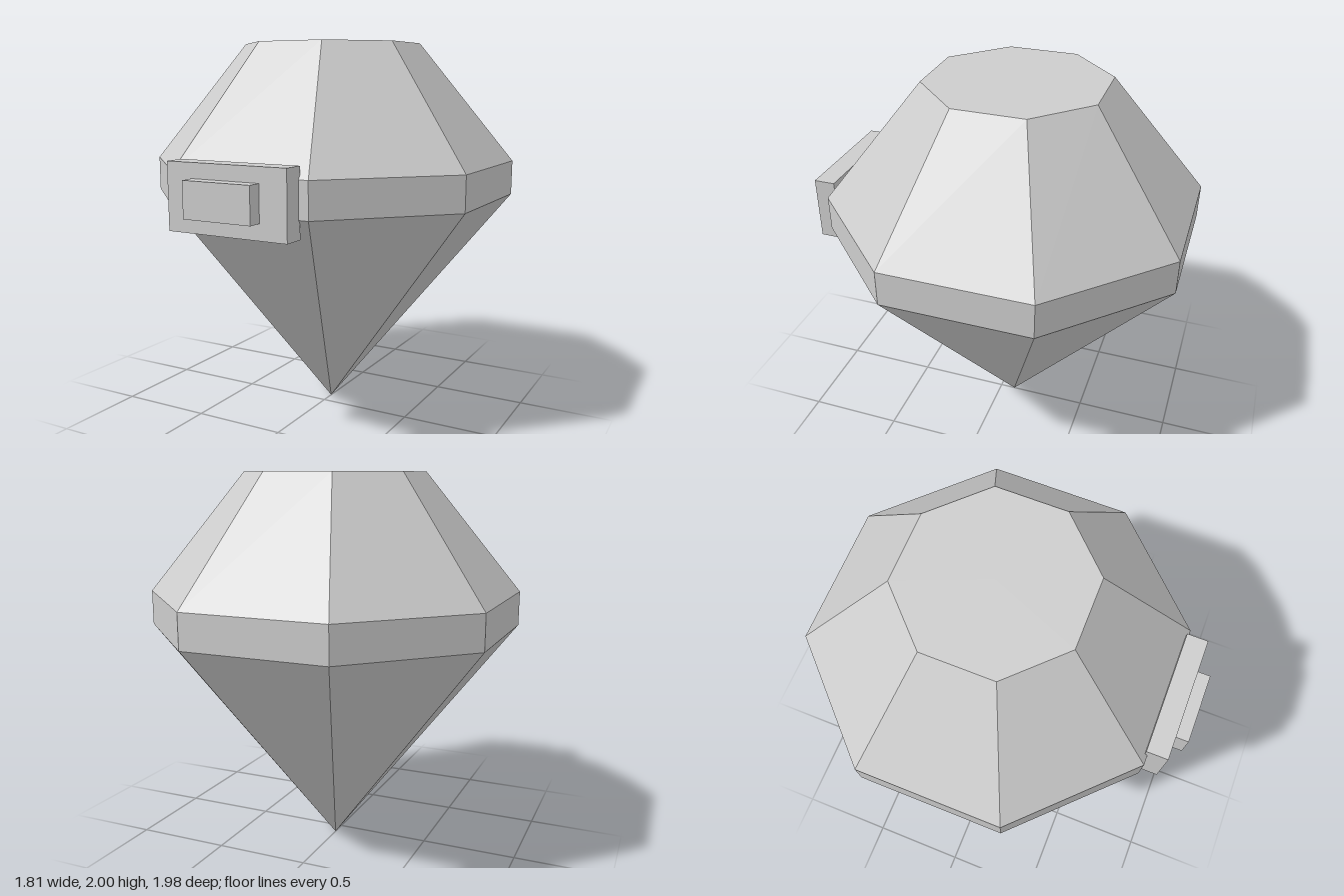
import * as THREE from 'three';

const SIDES = 8;
const RADIUS = 0.98;
const GEM_Z = -0.083;

export function createModel() {
  const model = new THREE.Group();
  model.name = 'cutGem';
  const grey = new THREE.MeshStandardMaterial({ color: 0xcccccc });
  grey.name = 'stone grey';

  const add = (name, geometry, x, y, z) => {
    const mesh = new THREE.Mesh(geometry, grey);
    mesh.name = name;
    mesh.position.set(x, y, z);
    model.add(mesh);
  };

  // Faceted ring of the gem between two heights, a flat facing the front
  const facets = (name, topRadius, bottomRadius, y0, y1) => {
    const geometry = new THREE.CylinderGeometry(
      topRadius, bottomRadius, y1 - y0, SIDES, 1, true, Math.PI / SIDES).toNonIndexed();
    geometry.computeVertexNormals();
    add(name, geometry, 0, (y0 + y1) / 2, GEM_Z);
  };
  facets('pavilion', RADIUS, 0, 0, 1.2);
  facets('girdle', RADIUS, RADIUS, 1.2, 1.38);
  facets('crown', 0.471, RADIUS, 1.38, 2);

  // Flat top
  const table = new THREE.CircleGeometry(0.471, SIDES, Math.PI / SIDES);
  table.rotateX(-Math.PI / 2);
  add('table', table, 0, 2, GEM_Z);

  // Stepped block on the front
  add('mountPlate', new THREE.BoxGeometry(0.65, 0.33, 0.11), 0, 1.275, 0.863);
  add('mountButton', new THREE.BoxGeometry(0.365, 0.178, 0.075), 0, 1.277, 0.9525);

  return model;
}
